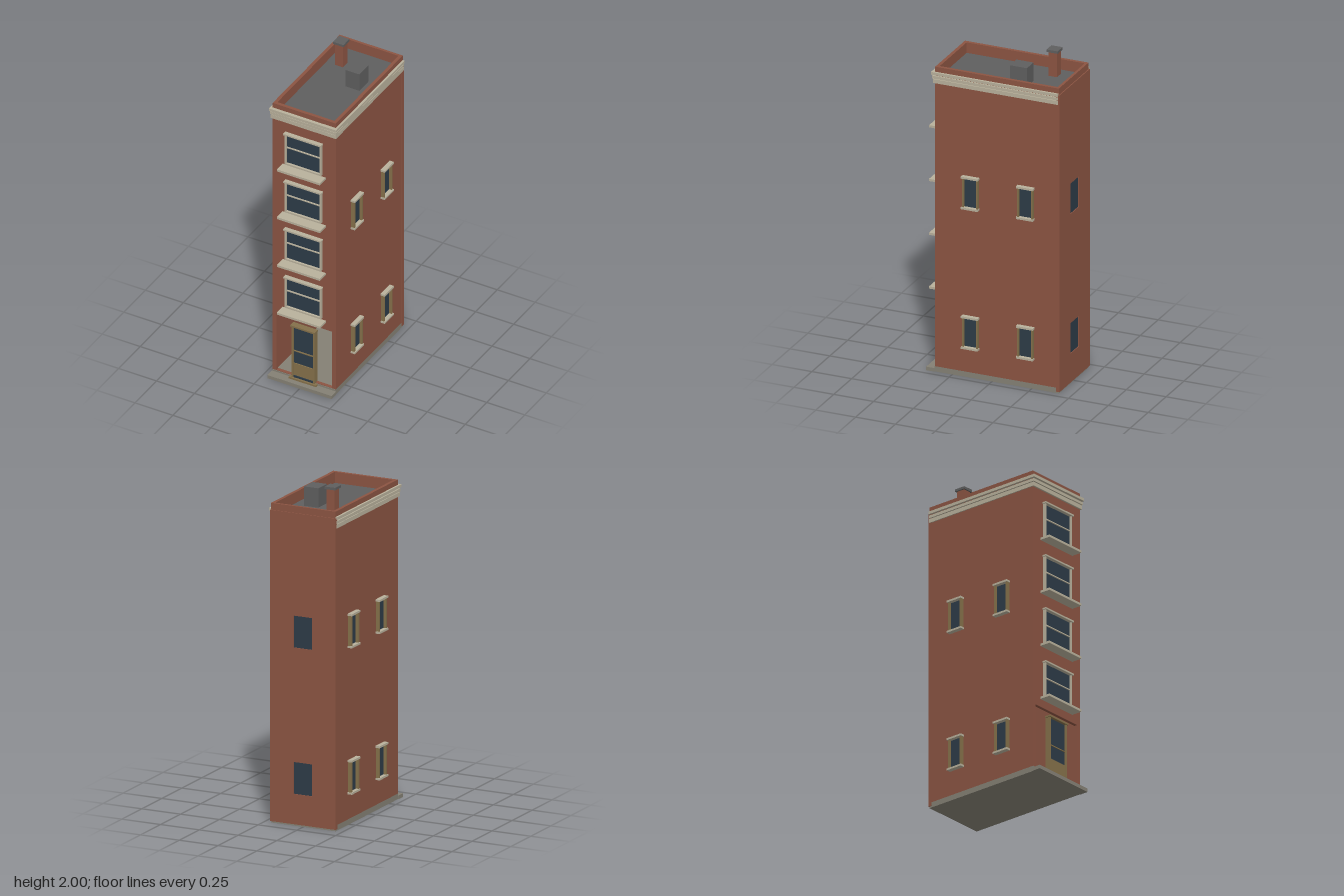
import * as THREE from 'three';

const mat = (name, color) => {
  const m = new THREE.MeshStandardMaterial({ color });
  m.name = name;
  return m;
};

export function createModel() {
  const brick = mat('brick', 0x8b5442);
  const cream = mat('cream trim', 0xb8b09b);
  const tan = mat('tan wood', 0x84704a);
  const glass = mat('dark glass', 0x2d3b47);
  const roofGrey = mat('roof grey', 0x5e5e5e);
  const stone = mat('grey stone', 0x848074);

  const model = new THREE.Group();
  model.name = 'townhouse';

  // Box given by its limits on each axis
  const box = (parent, name, m, [x0, x1], [y0, y1], [z0, z1]) => {
    const mesh = new THREE.Mesh(new THREE.BoxGeometry(x1 - x0, y1 - y0, z1 - z0), m);
    mesh.position.set((x0 + x1) / 2, (y0 + y1) / 2, (z0 + z1) / 2);
    mesh.name = name;
    parent.add(mesh);
    return mesh;
  };
  const group = (name) => {
    const g = new THREE.Group();
    g.name = name;
    model.add(g);
    return g;
  };
  // Upright wall with rectangular openings, each [x0, x1, y0, y1]
  const wall = (name, [x0, x1], [y0, y1], [z0, z1], openings) => {
    const rect = (P, a, b, c, d) => {
      const p = new P();
      p.moveTo(a, c).lineTo(b, c).lineTo(b, d).lineTo(a, d).closePath();
      return p;
    };
    const shape = rect(THREE.Shape, x0, x1, y0, y1);
    openings.forEach((o) => shape.holes.push(rect(THREE.Path, ...o)));
    const geo = new THREE.ExtrudeGeometry(shape, { depth: z1 - z0, bevelEnabled: false });
    const mesh = new THREE.Mesh(geo, brick);
    mesh.position.z = z0;
    mesh.name = name;
    model.add(mesh);
  };

  const rows = [[0.19, 0.38], [1.06, 1.25]]; // side and back window heights

  // Base and front step
  box(model, 'base', stone, [-0.208, 0.208], [0, 0.033], [-0.42, 0.36]);
  box(model, 'frontStep', stone, [-0.212, 0.212], [0, 0.022], [0.36, 0.412]);

  // Hollow brick shell, open at the ground floor front
  for (const s of [-1, 1]) {
    box(model, s > 0 ? 'leftWall' : 'rightWall', brick,
      s > 0 ? [0.188, 0.208] : [-0.208, -0.188], [0.033, 1.9], [-0.42, 0.357]);
  }
  wall('frontWall', [-0.188, 0.188], [0.033, 1.9], [0.337, 0.357], [[-0.183, 0.183, 0.036, 0.43]]);
  box(model, 'backParapet', brick, [-0.188, 0.188], [1.8, 1.9], [-0.42, -0.404]);
  wall('backWall', [-0.212, 0.212], [0.01, 1.86], [-0.426, -0.404],
    rows.map(([a, b]) => [-0.06, 0.06, a, b]));
  rows.forEach(([a, b]) =>
    box(model, 'backWindow', glass, [-0.06, 0.06], [a, b], [-0.421, -0.413]));

  // Roof, rooftop unit and chimney
  box(model, 'roof', roofGrey, [-0.188, 0.188], [1.81, 1.835], [-0.404, 0.337]);
  box(model, 'rooftopUnit', roofGrey, [0.027, 0.119], [1.835, 1.95], [-0.18, -0.072]);
  box(model, 'chimney', brick, [-0.13, -0.077], [1.835, 1.985], [-0.28, -0.227]);
  box(model, 'chimneyCap', roofGrey, [-0.138, -0.069], [1.985, 2], [-0.288, -0.218]);

  // Stepped cornice along the front and both sides
  const cornice = group('cornice');
  [[1.8, 1.824, 0.007], [1.828, 1.845, 0.009], [1.852, 1.869, 0.013]].forEach(([a, b, out]) => {
    box(cornice, 'frontBand', cream, [-0.208 - out, 0.208 + out], [a, b], [0.345, 0.357 + out * 1.6]);
    for (const s of [-1, 1]) {
      const xs = s > 0 ? [0.2, 0.208 + out] : [-0.208 - out, -0.2];
      box(cornice, 'sideBand', cream, xs, [a, b], [-0.418, 0.345]);
    }
  });

  // Four front windows
  for (let i = 0; i < 4; i++) {
    const y = 0.505 + i * 0.335;
    const w = group('frontWindow');
    w.position.y = y;
    box(w, 'glass', glass, [-0.112, 0.112], [0.01, 0.21], [0.355, 0.361]);
    for (const s of [-1, 1]) {
      box(w, 'jamb', cream, s > 0 ? [0.11, 0.119] : [-0.119, -0.11], [0, 0.212], [0.355, 0.375]);
    }
    box(w, 'bottomRail', cream, [-0.119, 0.119], [0, 0.01], [0.355, 0.375]);
    box(w, 'middleRail', cream, [-0.11, 0.11], [0.114, 0.121], [0.355, 0.368]);
    box(w, 'lintel', cream, [-0.124, 0.124], [0.209, 0.219], [0.355, 0.384]);
    box(w, 'sill', cream, [-0.142, 0.142], [-0.026, -0.012], [0.35, 0.425]);
  }

  // Small windows on both sides
  for (const s of [-1, 1]) {
    for (const [a, b] of rows) {
      for (const z of [0.131, -0.215]) {
        const w = group('sideWindow');
        const span = (x0, x1) => (s > 0 ? [x0, x1] : [-x1, -x0]);
        box(w, 'glass', glass, span(0.205, 0.212), [a, b], [z - 0.042, z + 0.042]);
        for (const t of [-1, 1]) {
          const c = z + t * 0.044;
          box(w, 'jamb', tan, span(0.205, 0.23), [a, b], [c - 0.005, c + 0.005]);
        }
        box(w, 'lintel', cream, span(0.205, 0.236), [b - 0.006, b + 0.006], [z - 0.053, z + 0.053]);
        box(w, 'sill', cream, span(0.205, 0.236), [a - 0.007, a + 0.005], [z - 0.053, z + 0.053]);
      }
    }
  }

  // Front door standing in the open ground floor
  const door = group('door');
  for (const s of [-1, 1]) {
    box(door, 'doorPost', tan, s > 0 ? [0.067, 0.076] : [-0.076, -0.067], [0.03, 0.39], [0.34, 0.372]);
  }
  box(door, 'doorLintel', tan, [-0.081, 0.081], [0.386, 0.397], [0.34, 0.378]);
  box(door, 'doorPanel', tan, [-0.067, 0.067], [0.033, 0.13], [0.345, 0.365]);
  box(door, 'doorGlass', glass, [-0.067, 0.067], [0.13, 0.386], [0.352, 0.36]);
  box(door, 'doorRail', tan, [-0.067, 0.067], [0.214, 0.22], [0.35, 0.366]);
  box(door, 'kickPlate', glass, [-0.064, 0.064], [0.034, 0.047], [0.362, 0.37]);
  box(door, 'threshold', tan, [-0.09, 0.09], [0.022, 0.033], [0.34, 0.38]);

  return model;
}
